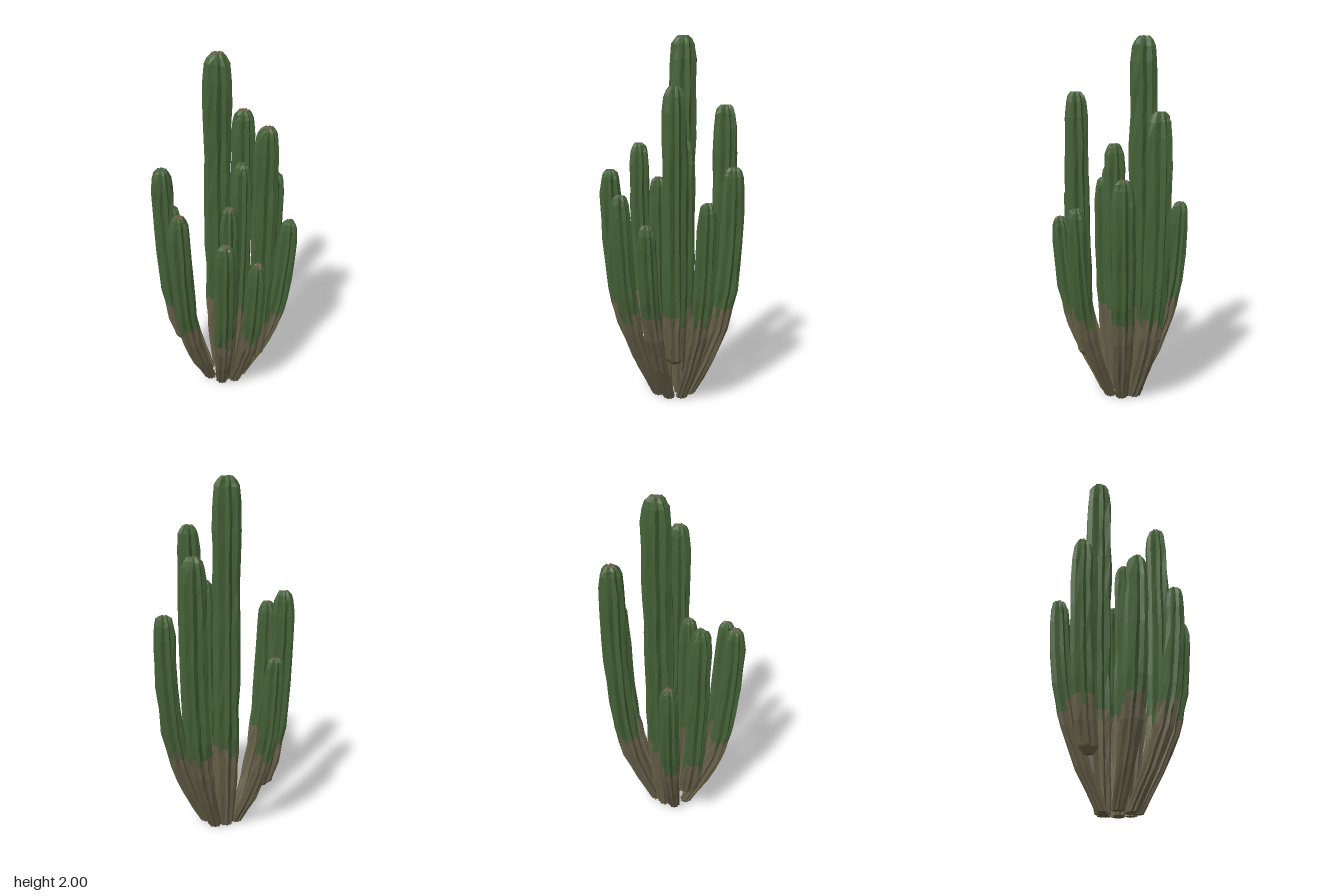
import * as THREE from 'three';

const RIBS = 9;

// small seeded random generator
function makeRandom(seed) {
  let s = seed;
  return () => {
    s = (s * 16807) % 2147483647;
    return s / 2147483647;
  };
}

// piecewise linear lookup in [[x, y], ...]
function lookup(table, x) {
  for (let i = 1; i < table.length; i++) {
    const [x0, y0] = table[i - 1], [x1, y1] = table[i];
    if (x <= x1) return y0 + (y1 - y0) * Math.max(0, (x - x0) / (x1 - x0));
  }
  return table[table.length - 1][1];
}

// outward sweep and thickness of a stem against height
const SWEEP = [[0, 0], [0.2, 0.38], [0.4, 0.68], [0.6, 0.85], [0.85, 0.95], [1.1, 1]];
const GIRTH = [[0, 0.58], [0.2, 0.78], [0.4, 0.92], [0.6, 1]];
// thickness against distance below the tip
const CROWN = [[0, 0.42], [0.02, 0.68], [0.05, 0.85], [0.13, 0.98], [0.2, 1]];

// One ribbed stem: star-shaped rings joined along a curved centre line
function stemGeometry({ base, tip, height, radius, start = 0, barkTip = true }, seed) {
  const rand = makeRandom(seed * 7919 + 17);
  const twist = rand() * Math.PI;
  const levels = [0, 0.1, 0.2, 0.3, 0.4, 0.47, 0.53, 0.62].filter((y) => y > start + 0.03);
  levels.unshift(start);
  if (start > 0) levels.splice(1, 0, start + 0.03);
  const shoulder = height - 0.13;
  const steps = Math.max(2, Math.round((shoulder - 0.62) / 0.14));
  for (let i = 1; i <= steps; i++) levels.push(0.62 + ((shoulder - 0.62) * i) / steps);
  levels.push(height - 0.05, height - 0.02, height);

  const centre = (y) => {
    const t = lookup(SWEEP, y);
    return [base[0] + (tip[0] - base[0]) * t, base[1] + (tip[1] - base[1]) * t];
  };
  const n = RIBS * 2;
  const rings = levels.map((y, k) => {
    const [cx, cz] = centre(y);
    let r = radius * lookup(GIRTH, y) * lookup(CROWN, height - y);
    if (start > 0 && k === 0) r *= 0.5;
    return Array.from({ length: n }, (_, i) => {
      const a = twist + (i / n) * Math.PI * 2 + (rand() - 0.5) * 0.1;
      const rib = i % 2 ? 0.76 : 1 + (rand() - 0.5) * 0.14;
      const lift = k === 0 ? 0 : (rand() - 0.5) * 0.012;
      return [cx + Math.cos(a) * r * rib, Math.min(height, y + lift), cz + Math.sin(a) * r * rib];
    });
  });

  const bark = [], skin = [];
  for (let i = 0; i < n; i++) {
    const j = (i + 1) % n;
    // the woody colour ends at a slightly different height on each rib
    const woodTop = [0.47, 0.53, 0.53][Math.floor(rand() * 3)];
    for (let k = 0; k < rings.length - 1; k++) {
      const a0 = rings[k][i], b0 = rings[k][j], a1 = rings[k + 1][i], b1 = rings[k + 1][j];
      const target = levels[k + 1] <= woodTop + 0.001 ? bark : skin;
      target.push(...a0, ...a1, ...b0, ...b0, ...a1, ...b1);
    }
    // end caps
    const top = rings[rings.length - 1];
    const [tx, tz] = centre(height), [bx, bz] = centre(start);
    (barkTip ? bark : skin).push(tx, height, tz, ...top[j], ...top[i]);
    bark.push(bx, start, bz, ...rings[0][i], ...rings[0][j]);
  }

  const geometry = new THREE.BufferGeometry();
  geometry.setAttribute('position', new THREE.Float32BufferAttribute([...bark, ...skin], 3));
  geometry.addGroup(0, bark.length / 3, 0);
  geometry.addGroup(bark.length / 3, skin.length / 3, 1);
  geometry.computeVertexNormals(); // unshared corners give flat facets
  return geometry;
}

export function createModel() {
  const group = new THREE.Group();
  group.name = 'cactus';
  const bark = new THREE.MeshStandardMaterial({ color: 0x665f48 });
  bark.name = 'woody brown';
  const skin = new THREE.MeshStandardMaterial({ color: 0x456137 });
  skin.name = 'cactus green';

  // base and tip are [x, z]
  const stems = {
    tallStem: { base: [-0.06, -0.04], tip: [-0.088, -0.065], height: 2, radius: 0.075 },
    backRightStem: { base: [-0.03, -0.1], tip: [-0.1, -0.3], height: 1.63, radius: 0.068 },
    backLeftStem: { base: [0.045, -0.1], tip: [0.1, -0.335], height: 1.3, radius: 0.063 },
    backOuterStem: { base: [0.1, -0.06], tip: [0.31, -0.19], height: 1.14, radius: 0.054, barkTip: false },
    leftTallStem: { base: [0.18, -0.02], tip: [0.265, -0.02], height: 1.72, radius: 0.065, start: 0.25 },
    innerBackStem: { base: [0.03, -0.05], tip: [0.075, -0.07], height: 1.45, radius: 0.058, barkTip: false },
    innerFrontStem: { base: [0.06, 0.02], tip: [0.1, 0.065], height: 1.25, radius: 0.054 },
    rightStem: { base: [-0.085, 0.025], tip: [-0.345, 0.045], height: 1.09, radius: 0.055 },
    rightBranch: { base: [-0.13, 0.07], tip: [-0.262, 0.19], height: 1.41, radius: 0.06, start: 0.25, barkTip: false },
    frontStem: { base: [-0.025, 0.085], tip: [-0.01, 0.335], height: 1.28, radius: 0.06 },
    frontLeftStem: { base: [0.055, 0.07], tip: [0.237, 0.262], height: 1.17, radius: 0.057 },
    leftStem: { base: [0.105, 0.01], tip: [0.342, 0.125], height: 1.03, radius: 0.054 },
  };
  Object.entries(stems).forEach(([name, spec], i) => {
    const mesh = new THREE.Mesh(stemGeometry(spec, i + 1), [bark, skin]);
    mesh.name = name;
    group.add(mesh);
  });
  return group;
}
